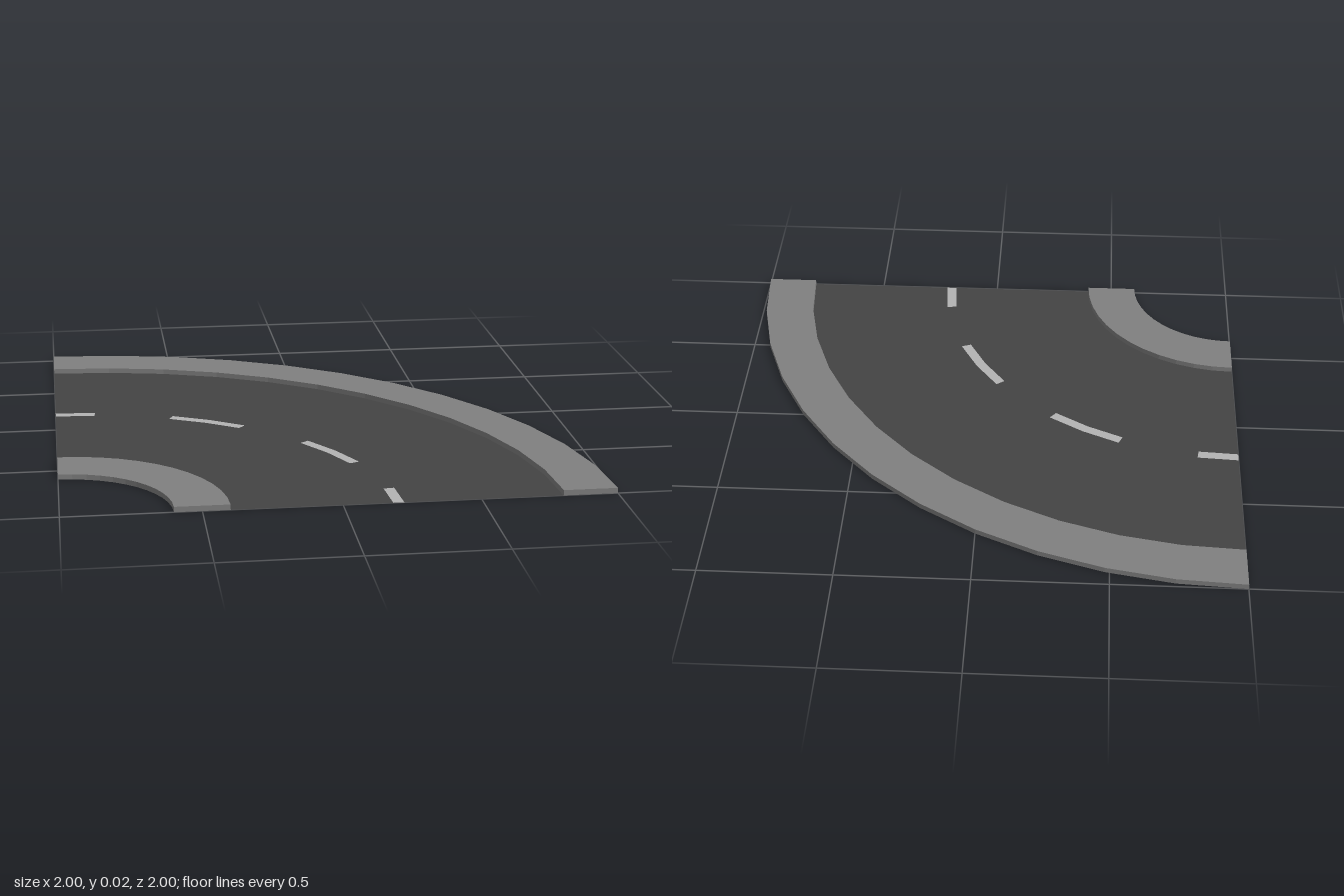
import * as THREE from 'three';
import { mergeGeometries } from 'three/addons/utils/BufferGeometryUtils.js';

const SEGMENTS = 12; // facets in the quarter turn
const KERB_HEIGHT = 0.02;

// Faceted ring sector between two radii, from facet index a to b
function sector(inner, outer, a = 0, b = SEGMENTS) {
  const points = [];
  const add = (r, i) => {
    const t = (i / SEGMENTS) * Math.PI / 2;
    points.push(new THREE.Vector2(r * Math.cos(t), r * Math.sin(t)));
  };
  for (let i = a; i <= b; i++) add(outer, i);
  for (let i = b; i >= a; i--) add(inner, i);
  return new THREE.Shape(points);
}

// Lay a shape flat with the centre of the bend in the front right corner
const lay = (geometry) => geometry.rotateX(-Math.PI / 2).translate(-1, 0, 1);
const flat = (...args) => lay(new THREE.ShapeGeometry(sector(...args)));

export function createModel() {
  const group = new THREE.Group();
  group.name = 'roadBend';
  const material = (color) => new THREE.MeshStandardMaterial({ color, flatShading: true, side: THREE.DoubleSide });
  const add = (name, geometry, mat) => {
    const mesh = new THREE.Mesh(geometry, mat);
    mesh.name = name;
    group.add(mesh);
  };

  // Raised pavements along both edges
  const pavement = material(0x808080);
  for (const [name, inner, outer] of [['innerPavement', 0.4, 0.6], ['outerPavement', 1.8, 2]]) {
    const solid = new THREE.ExtrudeGeometry(sector(inner, outer), { depth: KERB_HEIGHT, bevelEnabled: false });
    add(name, lay(solid), pavement);
  }

  // Asphalt: two lanes and the gaps between the dashes
  const gaps = [[1, 3], [5, 7], [9, 11]].map(([a, b]) => flat(1.18, 1.22, a, b));
  add('asphalt', mergeGeometries([flat(0.6, 1.18), flat(1.22, 1.8), ...gaps]), material(0x444444));

  // Centre line dashes, set flush in the asphalt
  const paint = material(0xb3b3b3);
  [[0, 1], [3, 5], [7, 9], [11, 12]].forEach(([a, b], i) => {
    add(`centreDash${i + 1}`, flat(1.18, 1.22, a, b), paint);
  });

  return group;
}
